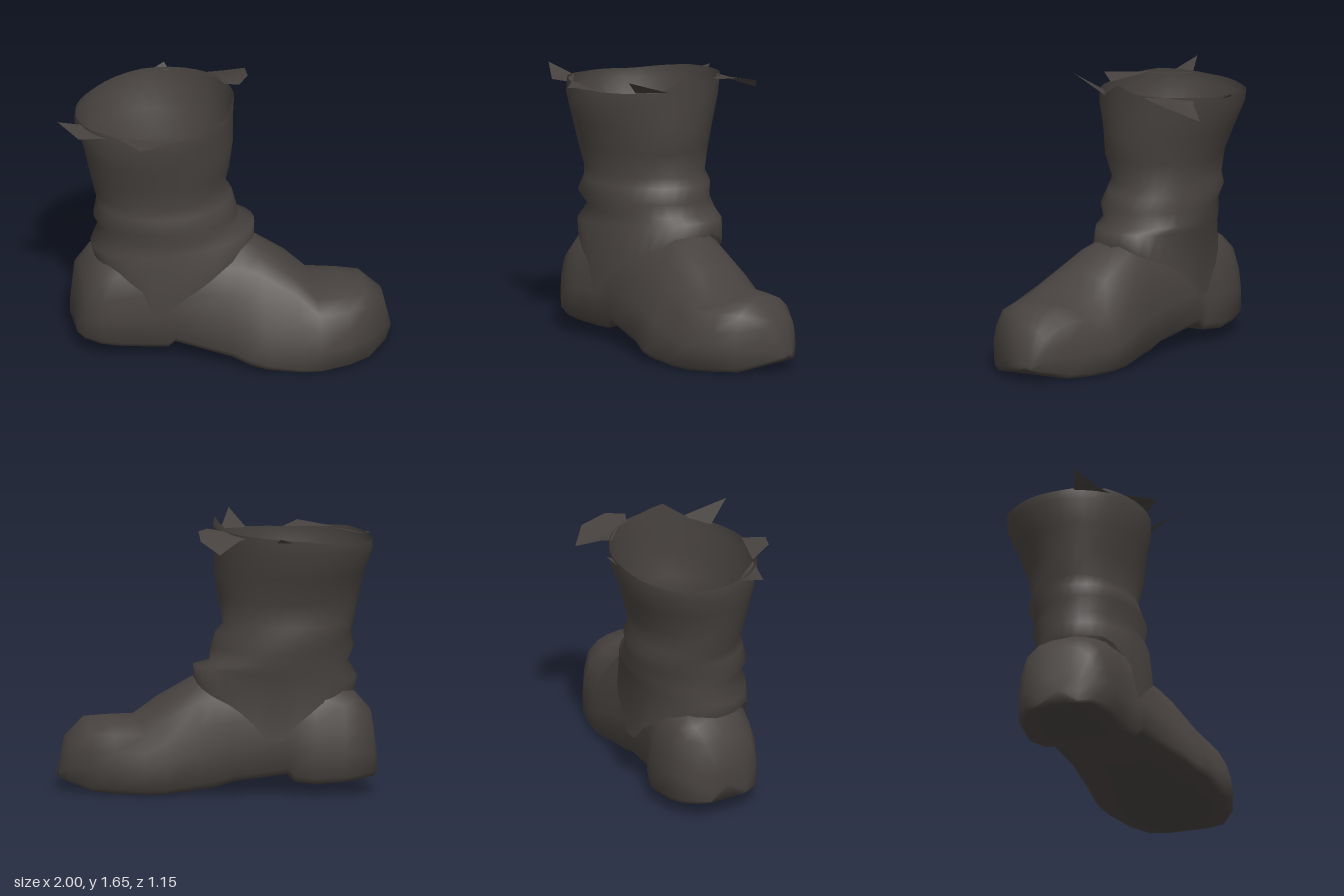
import * as THREE from 'three';
import { toCreasedNormals } from 'three/addons/utils/BufferGeometryUtils.js';

const leather = new THREE.MeshStandardMaterial({ color: 0x47423f, side: THREE.DoubleSide });
leather.name = 'dark leather';

const { lerp } = THREE.MathUtils;

// Skin a list of closed cross-sections; skip(row, column) leaves a quad open.
function loft(rows, skip = () => false) {
  const n = rows[0].length;
  const index = [];
  for (let r = 0; r < rows.length - 1; r++) {
    for (let i = 0; i < n; i++) {
      if (skip(r, i)) continue;
      const j = (i + 1) % n;
      const a = r * n + i, b = r * n + j, c = a + n, d = b + n;
      index.push(a, c, b, b, c, d);
    }
  }
  const geo = new THREE.BufferGeometry();
  geo.setAttribute('position', new THREE.Float32BufferAttribute(rows.flat(2), 3));
  geo.setIndex(index);
  return toCreasedNormals(geo, 1.7);
}

// Piecewise linear lookup of [angle in degrees, value] keys.
function lookup(keys, deg) {
  const i = keys.findIndex(([a]) => a > deg);
  const [a0, v0] = keys[i - 1], [a1, v1] = keys[i];
  return lerp(v0, v1, (deg - a0) / (a1 - a0));
}

function makeFoot() {
  // Half outline of a section: [half width, height], top to sole, then mirrored
  const half = [[0, 1], [0.3, 0.985], [0.57, 0.94], [0.83, 0.81], [0.96, 0.57],
    [1, 0.33], [0.98, 0.06], [0.88, 0], [0.45, 0], [0, 0]];
  const outline = [...half, ...half.slice(1, -1).reverse().map(([u, t]) => [-u, t])];
  // x, sole y, top y, centre z, top centre z, half width, pinch towards the top
  const sections = [
    [-0.875, 0.12, 0.3, -0.12, -0.12, 0.13, 0],
    [-0.84, 0.115, 0.51, -0.12, -0.12, 0.22, 0],
    [-0.75, 0.1, 0.61, -0.12, -0.12, 0.285, 0.05],
    [-0.66, 0.09, 0.66, -0.12, -0.11, 0.31, 0.08],
    [-0.48, 0.08, 0.72, -0.11, -0.1, 0.325, 0.1],
    [-0.36, 0.09, 0.73, -0.06, -0.08, 0.315, 0.12],
    [-0.32, 0.135, 0.73, -0.04, -0.07, 0.315, 0.12],
    [0, 0.085, 0.72, 0.08, -0.02, 0.36, 0.32],
    [0.1, 0.05, 0.72, 0.12, 0, 0.385, 0.36],
    [0.2, 0.035, 0.69, 0.15, 0.03, 0.405, 0.37],
    [0.4, 0.01, 0.56, 0.165, 0.1, 0.415, 0.27],
    [0.52, 0.005, 0.445, 0.18, 0.17, 0.4, 0.08],
    [0.7, 0.01, 0.44, 0.19, 0.19, 0.345, 0.03],
    [0.83, 0.015, 0.435, 0.2, 0.19, 0.26, 0],
    [0.95, 0.06, 0.33, 0.185, 0.18, 0.145, 0],
    [1, 0.085, 0.12, 0.165, 0.165, 0.04, 0],
  ];
  const rows = sections.map(([x, y0, y1, zc, zt, w, pinch]) => outline.map(([u, t]) =>
    [x, lerp(y0, y1, t), lerp(zc, zt, t) + u * w * (1 - pinch * t)]));

  // Close heel and toe by collapsing a copy of the end sections
  const cap = ([x, y0, y1, zc]) => outline.map(() => [x, (y0 + y1) / 2, zc]);
  rows.unshift(cap(sections[0]));
  rows.push(cap(sections[sections.length - 1]));

  // The top stays open between heel and instep, inside the shaft
  const isAnkle = (r) => rows[r][0][0] > -0.7 && rows[r + 1][0][0] < 0.15;
  return loft(rows, (r, i) => isAnkle(r) && (i < 2 || i >= outline.length - 2));
}

function makeShaft() {
  const N = 36;
  // Hanging lower edge with a pointed tip on each side, and the uneven top rim
  const hem = [[0, 0.7], [54, 0.62], [90, 0.44], [110, 0.3], [120, 0.49], [145, 0.62],
    [215, 0.6], [240, 0.56], [262, 0.43], [275, 0.29], [287, 0.42], [305, 0.55], [360, 0.7]];
  const rim = [[0, 1.62], [20, 1.66], [38, 1.57], [90, 1.55], [140, 1.57], [180, 1.54],
    [225, 1.53], [270, 1.58], [325, 1.61], [360, 1.62]];
  // Height, x min, x max, z min, z max
  const rings = [
    [(deg) => lookup(hem, deg), -0.76, 0.21, -0.41, 0.28],
    [(deg) => 0.735 + 0.04 * Math.cos(deg * Math.PI / 180), -0.78, 0.215, -0.39, 0.255],
    [() => 0.8, -0.715, 0.125, -0.42, 0.23],
    [() => 0.88, -0.76, 0.11, -0.4, 0.26],
    [() => 0.97, -0.74, 0.08, -0.435, 0.23],
    [() => 1.03, -0.75, 0.04, -0.41, 0.21],
    [() => 1.18, -0.78, 0.07, -0.435, 0.25],
    [() => 1.34, -0.82, 0.085, -0.49, 0.275],
    [() => 1.48, -0.865, 0.09, -0.55, 0.305],
    [(deg) => lookup(rim, deg), -0.86, 0.1, -0.56, 0.3],
  ];
  const rows = rings.map(([height, x0, x1, z0, z1], r) => Array.from({ length: N }, (_, i) => {
    const a = (i / N) * Math.PI * 2;
    // Small irregular creases between hem and rim
    const loose = r > 1 && r < 8 ? 1 + 0.012 * Math.sin(3 * a + r * 1.9) : 1;
    return [
      (x0 + x1) / 2 + Math.cos(a) * loose * (x1 - x0) / 2,
      height(i * 360 / N),
      (z0 + z1) / 2 + Math.sin(a) * loose * (z1 - z0) / 2,
    ];
  }));
  return loft(rows);
}

// Thin torn flap built as a fan of its corners.
function makeFlap(points) {
  const geo = new THREE.BufferGeometry();
  geo.setAttribute('position', new THREE.Float32BufferAttribute(points.flat(), 3));
  const index = [];
  for (let i = 1; i < points.length - 1; i++) index.push(0, i + 1, i);
  geo.setIndex(index);
  geo.computeVertexNormals();
  return geo;
}

export function createModel() {
  const boot = new THREE.Group();
  boot.name = 'boot';
  const add = (name, geo) => {
    const mesh = new THREE.Mesh(geo, leather);
    mesh.name = name;
    boot.add(mesh);
  };

  add('foot', makeFoot());
  add('shaft', makeShaft());

  // Torn flaps around the rim
  add('heelFlap', makeFlap([[-0.84, 1.54, -0.03], [-1, 1.605, 0.02], [-0.89, 1.53, 0.12], [-0.68, 1.55, 0.18]]));
  add('sideFlap', makeFlap([[-0.68, 1.56, 0.18], [-0.56, 1.56, 0.37], [-0.49, 1.575, 0.39], [-0.38, 1.55, 0.29]]));
  add('pointedFlap', makeFlap([[0.02, 1.57, 0.12], [-0.15, 1.56, 0.22], [-0.07, 1.66, 0.38]]));
  add('largeFlap', makeFlap([[0.04, 1.61, -0.32], [-0.06, 1.59, -0.43], [0, 1.575, -0.46], [0.13, 1.51, -0.57],
    [0.23, 1.58, -0.46], [0.22, 1.62, -0.3], [0.15, 1.62, -0.2], [0.07, 1.61, -0.24]]));
  add('smallFlap', makeFlap([[-0.32, 1.57, -0.56], [-0.24, 1.6, -0.585], [-0.22, 1.57, -0.53]]));
  return boot;
}
